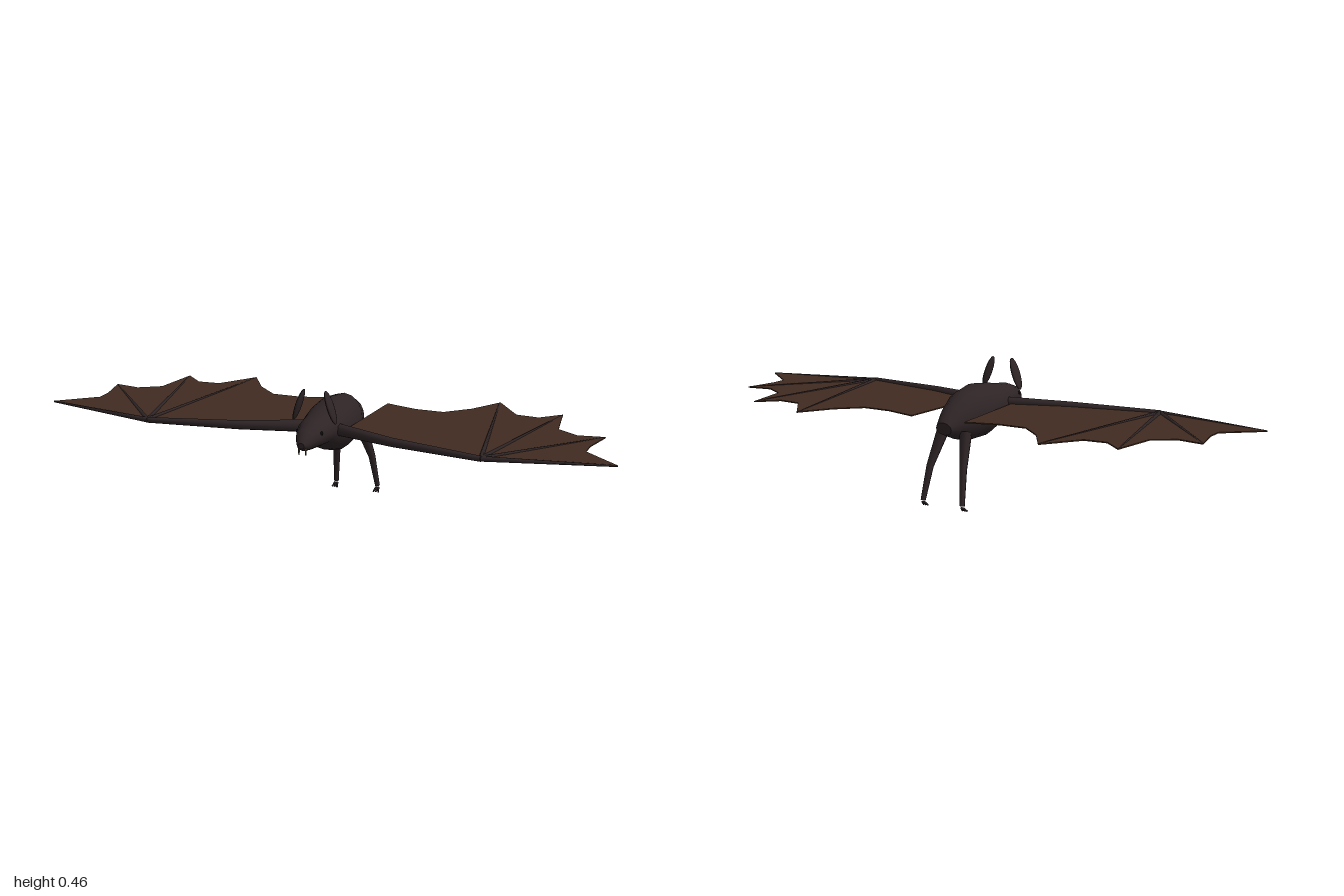
import * as THREE from 'three';

const flat = (name, color, side = THREE.FrontSide) => {
  const m = new THREE.MeshStandardMaterial({ color, side });
  m.name = name;
  return m;
};

// Closed tube through points, each [x, y, z, radiusAcross, radiusUp]
function sweep(points, sides, up) {
  const P = points.map(p => new THREE.Vector3(p[0], p[1], p[2]));
  const pos = [], index = [], n = P.length;
  const rings = P.map((c, i) => {
    const t = P[Math.min(i + 1, n - 1)].clone().sub(P[Math.max(i - 1, 0)]).normalize();
    const across = up.clone().cross(t).normalize();
    // rings of the upright body stay vertical, limbs follow their path
    const high = t.clone().cross(across);
    return Array.from({ length: sides }, (_, j) => {
      const a = j / sides * Math.PI * 2;
      return c.clone().addScaledVector(across, Math.cos(a) * points[i][3])
        .addScaledVector(high, Math.sin(a) * (points[i][4] ?? points[i][3]));
    });
  });
  rings.forEach(r => r.forEach(v => pos.push(v.x, v.y, v.z)));
  for (let i = 0; i < n - 1; i++) for (let j = 0; j < sides; j++) {
    const k = (j + 1) % sides, a = i * sides, b = a + sides;
    index.push(a + j, a + k, b + k, a + j, b + k, b + j);
  }
  // end caps with their own vertices, so the rims stay sharp
  [0, n - 1].forEach(e => {
    const base = pos.length / 3;
    rings[e].forEach(v => pos.push(v.x, v.y, v.z));
    for (let j = 1; j < sides - 1; j++) {
      if (e) index.push(base, base + j, base + j + 1);
      else index.push(base, base + j + 1, base + j);
    }
  });
  const g = new THREE.BufferGeometry();
  g.setAttribute('position', new THREE.Float32BufferAttribute(pos, 3));
  g.setIndex(index);
  g.computeVertexNormals();
  return g;
}

export function createModel() {
  const model = new THREE.Group();
  const fur = flat('dark fur', 0x2e2426);
  const skin = flat('wing membrane', 0x402b20, THREE.DoubleSide);
  const black = flat('eye black', 0x0c0a0a);
  const tooth = flat('tooth', 0x5a4636);
  const Y = new THREE.Vector3(0, 1, 0), Z = new THREE.Vector3(0, 0, 1);

  const add = (parent, name, geometry, material) => {
    const m = new THREE.Mesh(geometry, material);
    m.name = name;
    parent.add(m);
    return m;
  };

  // Body and head: [z, bottom, top, half width]
  const body = [
    [-0.155, 0.255, 0.300, 0.030], [-0.10, 0.230, 0.350, 0.050], [-0.03, 0.214, 0.388, 0.071],
    [0.06, 0.213, 0.402, 0.082], [0.14, 0.240, 0.391, 0.077], [0.195, 0.272, 0.380, 0.062],
    [0.245, 0.277, 0.373, 0.055], [0.30, 0.281, 0.354, 0.037], [0.33, 0.286, 0.331, 0.022],
    [0.345, 0.299, 0.318, 0.011],
  ].map(([z, b, t, w]) => [0, (b + t) / 2, z, w, (t - b) / 2]);
  add(model, 'body', sweep(body, 16, Y), fur);

  // Wing outline behind the arm: [x, z]; finger tips are listed separately
  const outline = [
    [0.08, 0.16], [0.28, 0.235], [0.585, 0.29], [1, 0.205], [0.875, 0.10], [0.875, 0.04],
    [0.9, -0.075], [0.81, -0.06], [0.735, -0.107], [0.708, -0.278], [0.64, -0.214], [0.56, -0.22],
    [0.468, -0.347], [0.398, -0.235], [0.318, -0.16], [0.217, -0.16], [0.104, -0.192],
  ];
  const fingers = [[0.998, 0.205], [0.896, -0.07], [0.706, -0.27], [0.467, -0.338]];

  for (const s of [1, -1]) {
    const side = s > 0 ? 'left' : 'right';

    // Wing: membrane, arm and four fingers
    const wing = new THREE.Group();
    wing.name = side + 'Wing';
    model.add(wing);
    const shape = new THREE.Shape(outline.map(([x, z]) => new THREE.Vector2(s * x, -z)));
    const sheet = new THREE.ExtrudeGeometry(shape, { depth: 0.004, bevelEnabled: false });
    sheet.rotateX(-Math.PI / 2).translate(0, 0.316, 0);
    add(wing, 'membrane', sheet, skin);
    add(wing, 'arm', sweep([
      [s * 0.05, 0.320, 0.160, 0.022], [s * 0.27, 0.319, 0.230, 0.016], [s * 0.585, 0.318, 0.288, 0.010],
    ], 8, Y), fur);
    for (const [x, z] of fingers) {
      add(wing, 'finger', sweep([[s * 0.585, 0.318, 0.288, 0.009], [s * x, 0.318, z, 0.003]], 6, Y), fur);
    }

    // Ear: thin flattened ellipsoid leaning inward
    const ear = add(model, side + 'Ear', new THREE.SphereGeometry(1, 12, 10), fur);
    ear.scale.set(0.009, 0.058, 0.025);
    ear.position.set(s * 0.056, 0.412, 0.228);
    ear.rotation.z = s * 0.33;

    const eye = add(model, side + 'Eye', new THREE.SphereGeometry(0.007, 8, 6), black);
    eye.position.set(s * 0.041, 0.335, 0.272);

    const fang = add(model, side + 'Fang', new THREE.CylinderGeometry(0.004, 0.002, 0.025, 6), tooth);
    fang.position.set(s * 0.012, 0.288, 0.334);

    // Leg with a small foot of three toes
    const leg = new THREE.Group();
    leg.name = side + 'Leg';
    model.add(leg);
    add(leg, 'shin', sweep([
      [s * 0.045, 0.258, -0.088, 0.022], [s * 0.066, 0.140, -0.138, 0.013], [s * 0.078, 0.024, -0.164, 0.009],
    ], 8, Z), fur);
    for (const k of [-1, 0, 1]) {
      add(leg, 'toe', sweep([
        [s * 0.078 + k * 0.004, 0.017, -0.162, 0.004], [s * 0.078 + k * 0.009, 0.004, -0.147, 0.003],
      ], 6, Y), fur);
    }
  }
  return model;
}
